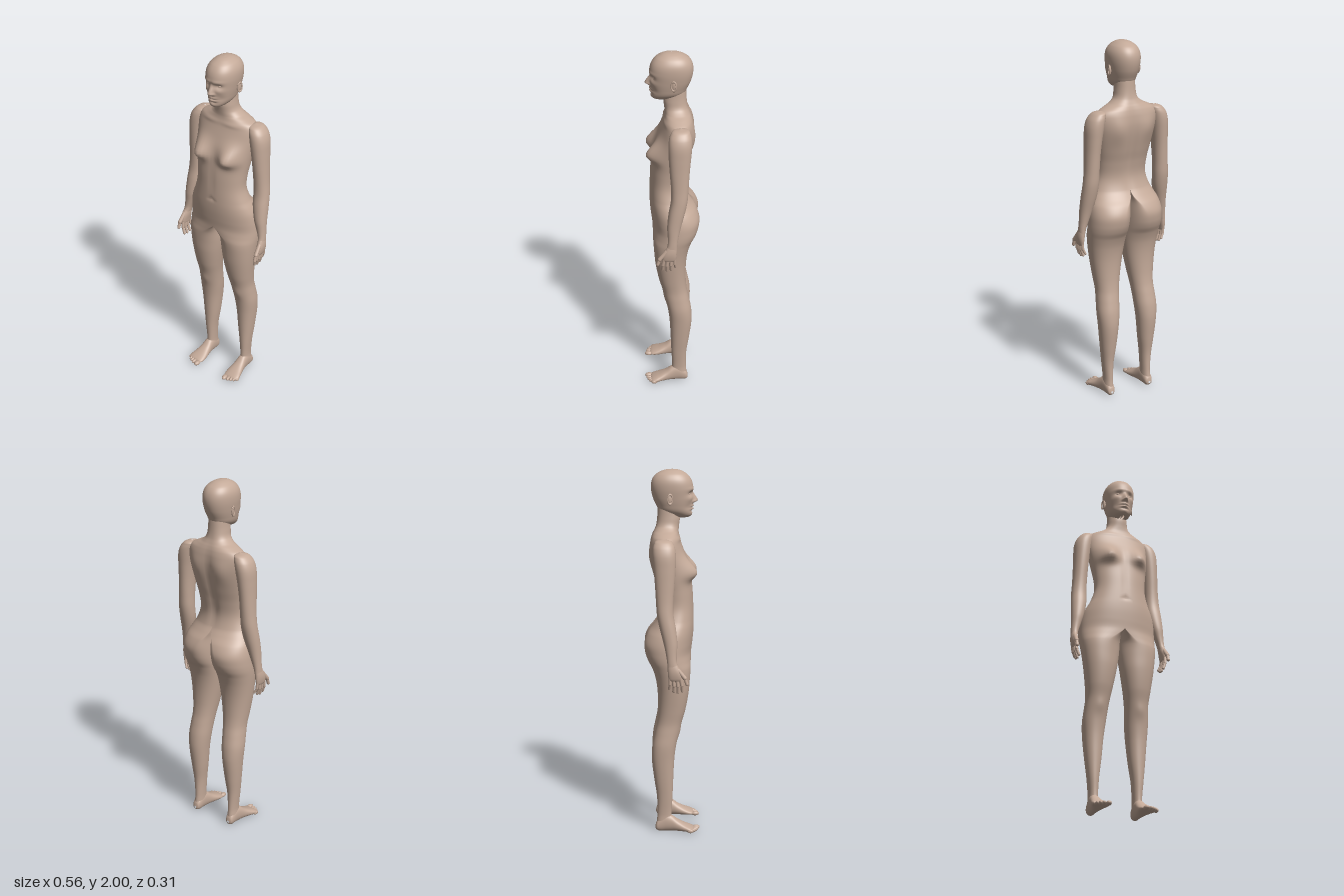
import * as THREE from 'three';

const skin = new THREE.MeshStandardMaterial({ color: 0xc3a998 });
skin.name = 'skin';

// Falloff of a soft bump centred on (cx, cy)
const bump = (p, cx, cy, sx, sy) => Math.exp(-(((p.x - cx) / sx) ** 2) - ((p.y - cy) / sy) ** 2);

// Smooth interpolation through rows whose first entry is the height
function sampleRows(rows, steps) {
  const slope = (i, k) => {
    const a = rows[Math.max(i - 1, 0)], b = rows[Math.min(i + 1, rows.length - 1)];
    return (b[k] - a[k]) / (b[0] - a[0]);
  };
  const out = [];
  for (let i = 0; i < rows.length - 1; i++) {
    const h = rows[i + 1][0] - rows[i][0];
    for (let s = 0; s < steps; s++) {
      const t = s / steps, t2 = t * t, t3 = t2 * t;
      out.push(rows[i].map((v, k) => k === 0 ? v + h * t
        : (2 * t3 - 3 * t2 + 1) * v + (3 * t2 - 2 * t3) * rows[i + 1][k]
          + h * ((t3 - 2 * t2 + t) * slope(i, k) + (t3 - t2) * slope(i + 1, k))));
    }
  }
  out.push(rows[rows.length - 1]);
  return out;
}

// Loft of four-quarter sections: [y, inner x, outer x, front ridge x, back ridge x, front z, back z]
function loft(rows, { steps = 6, quarter = 12, half = false, sculpt = null } = {}) {
  const full = rows.map(r => r.length === 7 ? r
    : [r[0], r[1], r[2], (r[1] + r[2]) / 2, (r[1] + r[2]) / 2, r[3], r[4]]);
  const rings = sampleRows(full, steps), n = quarter * 4, pos = [], index = [];
  const p = new THREE.Vector3();
  const pw = v => Math.sign(v) * Math.abs(v) ** 0.92;
  rings.forEach(([y, xi, xo, cf, cb, zf, zb], j) => {
    for (let i = 0; i < n; i++) {
      const a = i / n * Math.PI * 2, s = pw(Math.sin(a)), c = pw(Math.cos(a));
      const ridge = c > 0 ? cf : cb, zm = (zf + zb) / 2;
      p.set(ridge + (s > 0 ? (xo - ridge) * s : (ridge - xi) * s), y, zm + (zf - zb) / 2 * c);
      if (half) p.x = Math.max(p.x, 0);
      if (sculpt) sculpt(p);
      pos.push(p.x, p.y, p.z);
      if (j === rings.length - 1) continue;
      const k = (i + 1) % n, A = j * n + i, B = j * n + k;
      index.push(A, B, A + n, B, B + n, A + n);
    }
  });
  const g = new THREE.BufferGeometry();
  g.setAttribute('position', new THREE.Float32BufferAttribute(pos, 3));
  g.setIndex(index);
  g.computeVertexNormals();
  // Keep shading continuous across the centre line
  if (half) {
    const nm = g.attributes.normal;
    for (let i = 0; i < nm.count; i++) {
      if (pos[i * 3] > 0.0005) continue;
      const l = Math.hypot(nm.getY(i), nm.getZ(i));
      if (l > 0.01) nm.setXYZ(i, 0, nm.getY(i) / l, nm.getZ(i) / l);
    }
  }
  return g;
}

function mirror(geometry) {
  const g = geometry.clone().applyMatrix4(new THREE.Matrix4().makeScale(-1, 1, 1));
  const ix = g.index.array;
  for (let i = 0; i < ix.length; i += 3) [ix[i], ix[i + 1]] = [ix[i + 1], ix[i]];
  return g;
}

function ellipsoid(x, y, z, rx, ry, rz, turn = 0) {
  return new THREE.SphereGeometry(1, 20, 14).scale(rx, ry, rz).rotateY(turn).translate(x, y, z);
}

// Rounded segment between two points
function segment(a, b, r) {
  const A = new THREE.Vector3(...a), B = new THREE.Vector3(...b), d = B.clone().sub(A);
  const q = new THREE.Quaternion().setFromUnitVectors(new THREE.Vector3(0, 1, 0), d.clone().normalize());
  const c = A.add(B).multiplyScalar(0.5);
  return new THREE.CapsuleGeometry(r, d.length(), 5, 12).applyQuaternion(q).translate(c.x, c.y, c.z);
}

function sculptBody(p) {
  if (p.z > 0) {
    const w = THREE.MathUtils.smoothstep(p.z, 0, 0.05);
    p.z += w * (0.052 * bump(p, 0.092, 1.455, 0.05, p.y > 1.455 ? 0.065 : 0.036) // breast
      + 0.005 * bump(p, 0.08, 1.635, 0.06, 0.012) // collarbone
      - 0.007 * bump(p, 0, 1.2, 0.01, 0.012) // navel
      - 0.004 * bump(p, 0, 1.32, 0.014, 0.1)
      + 0.006 * bump(p, 0.115, 0.575, 0.03, 0.035)); // kneecap
  } else {
    const w = THREE.MathUtils.smoothstep(-p.z, 0, 0.05);
    p.z += w * (0.016 * bump(p, 0, 1.42, 0.026, 0.2) // spine
      - 0.011 * bump(p, 0.09, 1.54, 0.045, 0.07)); // shoulder blade
  }
}

function sculptHead(p) {
  if (p.z < 0.02) return;
  const up = p.y > 1.833;
  p.z += 0.027 * bump(p, 0, 1.833, up ? 0.011 : 0.013, up ? 0.03 : 0.011) // nose
    + 0.007 * bump(p, 0.012, 1.83, 0.007, 0.008)
    - 0.013 * bump(p, 0.034, 1.872, 0.02, 0.014) // eye socket
    + 0.004 * bump(p, 0.03, 1.895, 0.03, 0.009) // brow
    - 0.004 * bump(p, 0, 1.882, 0.012, 0.012)
    + 0.004 * bump(p, 0.048, 1.845, 0.02, 0.016) // cheekbone
    - 0.005 * bump(p, 0.045, 1.8, 0.018, 0.02)
    + 0.008 * bump(p, 0, 1.806, 0.022, 0.006) // lips
    + 0.008 * bump(p, 0, 1.79, 0.02, 0.006)
    - 0.005 * bump(p, 0, 1.798, 0.024, 0.0025)
    - 0.004 * bump(p, 0, 1.778, 0.025, 0.006)
    + 0.004 * bump(p, 0, 1.763, 0.018, 0.01); // chin
}

export function createModel() {
  const model = new THREE.Group();
  model.name = 'figure';
  const pair = (name, g) => {
    for (const [side, geo] of [['left', g], ['right', mirror(g)]]) {
      const m = new THREE.Mesh(geo, skin);
      m.name = side + name;
      model.add(m);
    }
  };

  // Leg, hip, trunk and neck of one half as a single skin
  const leg = [
    [0.05, 0.1, 0.15, 0, -0.088], [0.1, 0.1, 0.148, -0.005, -0.084], [0.2, 0.094, 0.157, 0, -0.086],
    [0.3, 0.081, 0.168, 0.004, -0.1], [0.42, 0.069, 0.179, 0.01, -0.114], [0.5, 0.06, 0.184, 0.02, -0.111],
    [0.57, 0.054, 0.18, 0.035, -0.098], [0.63, 0.047, 0.177, 0.05, -0.086], [0.7, 0.035, 0.184, 0.07, -0.08],
    [0.8, 0.017, 0.197, 0.088, -0.081], [0.88, 0.005, 0.207, 0.095, -0.092],
  ].map(([y, xi, xo, zf, zb]) => [y, xi, xo, (xi + xo) / 2, (xi + xo) / 2, zf, zb]);
  const hips = [
    [0.94, 0, 0.214, 0.09, 0.1, 0.099, -0.112], [0.98, 0, 0.217, 0.045, 0.092, 0.1, -0.134],
    [1.02, 0, 0.217, 0, 0.085, 0.103, -0.148], [1.07, 0, 0.214, 0, 0.075, 0.109, -0.153],
    [1.12, 0, 0.204, 0, 0.048, 0.114, -0.136], [1.16, 0, 0.187, 0, 0.012, 0.116, -0.108],
  ];
  const trunk = [
    [1.2, 0.167, 0.116, -0.084], [1.27, 0.147, 0.114, -0.07], [1.35, 0.15, 0.11, -0.082],
    [1.42, 0.16, 0.102, -0.101], [1.5, 0.172, 0.084, -0.118], [1.56, 0.18, 0.063, -0.124],
    [1.61, 0.18, 0.046, -0.121], [1.64, 0.163, 0.038, -0.115], [1.66, 0.124, 0.034, -0.108],
    [1.675, 0.092, 0.033, -0.101], [1.7, 0.065, 0.035, -0.091], [1.74, 0.056, 0.039, -0.084],
    [1.8, 0.052, 0.03, -0.08],
  ].map(([y, xo, zf, zb]) => [y, 0, xo, 0, 0, zf, zb]);
  pair('Body', loft([...leg, ...hips, ...trunk], { half: true, quarter: 14, sculpt: sculptBody }));

  // Head with face, eyes and ears
  const head = [
    [1.743, 0.012, 0.08, 0.03], [1.748, 0.028, 0.092, 0], [1.758, 0.044, 0.1, -0.03], [1.78, 0.061, 0.104, -0.07],
    [1.81, 0.07, 0.106, -0.088], [1.85, 0.078, 0.109, -0.106], [1.9, 0.084, 0.111, -0.116],
    [1.94, 0.081, 0.102, -0.111], [1.97, 0.066, 0.081, -0.092], [1.988, 0.044, 0.054, -0.063],
    [1.997, 0.023, 0.029, -0.035], [2, 0.001, 0, -0.003],
  ].map(([y, xo, zf, zb]) => [y, 0, xo, 0, 0, zf, zb]);
  pair('Head', loft(head, { half: true, quarter: 22, steps: 8, sculpt: sculptHead }));
  pair('Eye', ellipsoid(0.033, 1.872, 0.079, 0.015, 0.009, 0.0135));
  pair('Ear', ellipsoid(0.083, 1.846, -0.012, 0.006, 0.026, 0.015, -0.3));
  pair('EarRim', new THREE.TorusGeometry(0.014, 0.0035, 8, 24).scale(1, 1.8, 1)
    .rotateY(Math.PI / 2 - 0.3).translate(0.089, 1.846, -0.013));

  // Arm from wrist to shoulder
  pair('Arm', loft([
    [0.97, 0.242, 0.276, 0.033, -0.026], [1.0, 0.236, 0.275, 0.024, -0.028], [1.04, 0.223, 0.273, 0.023, -0.034],
    [1.1, 0.204, 0.271, 0.026, -0.047], [1.18, 0.185, 0.268, 0.018, -0.068], [1.25, 0.179, 0.263, 0.006, -0.082],
    [1.32, 0.177, 0.257, 0.005, -0.087], [1.42, 0.171, 0.253, 0.012, -0.093], [1.5, 0.162, 0.251, 0.017, -0.1],
    [1.56, 0.152, 0.248, 0.018, -0.105], [1.6, 0.145, 0.237, 0.014, -0.104], [1.625, 0.14, 0.22, 0.004, -0.097],
    [1.64, 0.142, 0.2, -0.012, -0.085], [1.647, 0.165, 0.172, -0.045, -0.052],
  ], { steps: 5, quarter: 10 }));

  // Hand: palm, fingers and thumb
  pair('Palm', loft([
    [0.898, 0.255, 0.262, 0.035, 0.005], [0.902, 0.25, 0.27, 0.047, -0.014], [0.92, 0.247, 0.276, 0.053, -0.022],
    [0.95, 0.243, 0.279, 0.046, -0.025], [0.98, 0.243, 0.276, 0.031, -0.025], [1.0, 0.245, 0.271, 0.02, -0.02],
  ], { steps: 4, quarter: 8 }));
  const fingers = [[0.043, 0.052, 0.842], [0.024, 0.028, 0.836], [0.005, 0.006, 0.84], [-0.013, -0.018, 0.856]];
  fingers.forEach(([z0, z1, tip], i) => {
    const mid = [0.259, (0.91 + tip) / 2, (z0 + z1) / 2 + 0.002], r = i === 3 ? 0.0075 : 0.009;
    pair('FingerBase' + (i + 1), segment([0.262, 0.915, z0], mid, r));
    pair('FingerTip' + (i + 1), segment(mid, [0.247, tip, z1], r * 0.85));
  });
  pair('ThumbBase', segment([0.262, 0.962, 0.03], [0.266, 0.918, 0.066], 0.0115));
  pair('ThumbTip', segment([0.266, 0.918, 0.066], [0.266, 0.886, 0.077], 0.009));

  // Foot lofted from heel to ball, then laid flat
  pair('Foot', loft([
    [-0.095, 0.118, 0.132, -0.016, -0.03], [-0.09, 0.107, 0.144, -0.007, -0.05], [-0.075, 0.101, 0.149, 0, -0.072],
    [-0.04, 0.098, 0.152, 0, -0.1], [-0.005, 0.096, 0.155, 0, -0.091], [0.03, 0.091, 0.162, 0, -0.066],
    [0.065, 0.085, 0.172, 0, -0.047], [0.095, 0.084, 0.179, 0, -0.034], [0.115, 0.09, 0.172, -0.004, -0.024],
    [0.122, 0.105, 0.15, -0.01, -0.016],
  ], { steps: 5, quarter: 10 }).rotateX(Math.PI / 2));
  const toes = [[0.103, 0.131, 0.0145, 0.022], [0.127, 0.126, 0.0095, 0.021], [0.144, 0.119, 0.009, 0.02],
    [0.159, 0.11, 0.0088, 0.019], [0.173, 0.099, 0.0085, 0.017]];
  toes.forEach(([x, z, rx, rz], i) => pair('Toe' + (i + 1), ellipsoid(x, 0.012, z, rx, i ? 0.011 : 0.0125, rz, 0.12)));

  return model;
}
